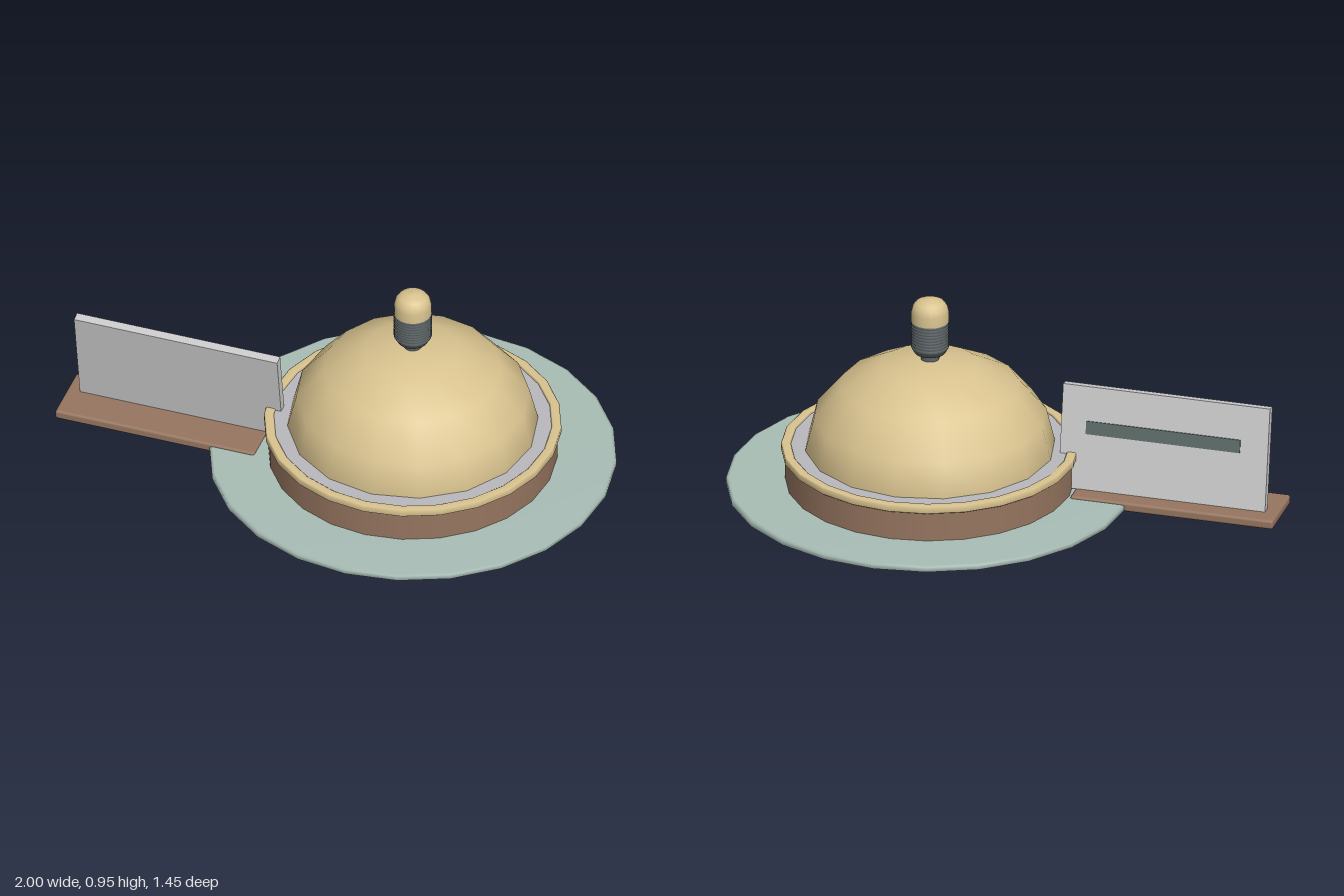
import * as THREE from 'three';
import { RoundedBoxGeometry } from 'three/addons/geometries/RoundedBoxGeometry.js';

const CX = 0.273; // axis of the round body
const mat = (color) => new THREE.MeshStandardMaterial({ color });
const GOLD = mat(0xd9c38f), BROWN = mat(0x967560), TEAL = mat(0xa8bdb5);
const DARK = mat(0x5b6366), SLOT = mat(0x5c6b69), PALE = mat(0xc4c3c0);

export function createModel() {
  const model = new THREE.Group();

  const add = (name, geometry, material, x, y, z) => {
    const mesh = new THREE.Mesh(geometry, material);
    mesh.name = name;
    mesh.position.set(x, y, z);
    model.add(mesh);
    return mesh;
  };
  // Turned part on the body axis; profile runs from bottom to top
  const turned = (name, profile, material, sides = 24) => {
    const points = profile.map(([r, y]) => new THREE.Vector2(r, y));
    return add(name, new THREE.LatheGeometry(points, sides), material, CX, 0, 0);
  };

  // Flattened ball forming the dome and the belly
  add('dome', new THREE.SphereGeometry(0.45, 16, 8), GOLD, CX, 0.3625, 0).scale.y = 0.3625 / 0.45;

  // Wide thin disc around the belly
  turned('disc', [[0.3, 0.22], [0.715, 0.22], [0.726, 0.224], [0.726, 0.242], [0.715, 0.246], [0.3, 0.246]], TEAL);

  // Brown band, pale inner plate and gold rim
  add('band', new THREE.CylinderGeometry(0.515, 0.515, 0.125, 24), BROWN, CX, 0.3025, 0);
  add('innerPlate', new THREE.CylinderGeometry(0.505, 0.505, 0.02, 24), mat(0xb9b9bd), CX, 0.368, 0);
  turned('rim', [[0.5, 0.357], [0.525, 0.357], [0.53, 0.361], [0.53, 0.381], [0.525, 0.385],
    [0.5, 0.385], [0.495, 0.381], [0.495, 0.357]], GOLD);

  // Knob: neck, ribbed grip and rounded cap
  add('knobNeck', new THREE.CylinderGeometry(0.033, 0.033, 0.05, 16), DARK, CX, 0.735, 0);
  const grip = [[0, 0.735], [0.035, 0.737], [0.055, 0.746], [0.066, 0.765]];
  for (let i = 0; i < 9; i++) {
    const y = 0.768 + i * 0.0115;
    grip.push([0.068, y], [0.068, y + 0.006], [0.065, y + 0.009]);
  }
  grip.push([0.064, 0.872]);
  turned('knobGrip', grip, DARK, 20);
  turned('knobCap', [[0.067, 0.868], [0.067, 0.905], [0.062, 0.926], [0.05, 0.942], [0.03, 0.951], [0, 0.955]], GOLD, 20);

  // Side shelf
  add('shelf', new RoundedBoxGeometry(0.75, 0.035, 0.235, 2, 0.01), BROWN, -0.625, 0.2375, 0.0975);

  // Upright plate leaning forward, with a dark strip on its back
  const lean = Math.atan(0.065 / 0.38);
  const plate = new THREE.Group();
  plate.name = 'leaningPlate';
  plate.position.set(-0.57, 0.44, 0.095);
  plate.rotation.x = lean;
  const board = new THREE.Mesh(new THREE.BoxGeometry(0.765, 0.382, 0.033), PALE);
  board.name = 'board';
  const strip = new THREE.Mesh(new THREE.BoxGeometry(0.57, 0.048, 0.01), SLOT);
  strip.name = 'strip';
  strip.position.set(0.005, 0.04, -0.016);
  plate.add(board, strip);
  model.add(plate);

  return model;
}
